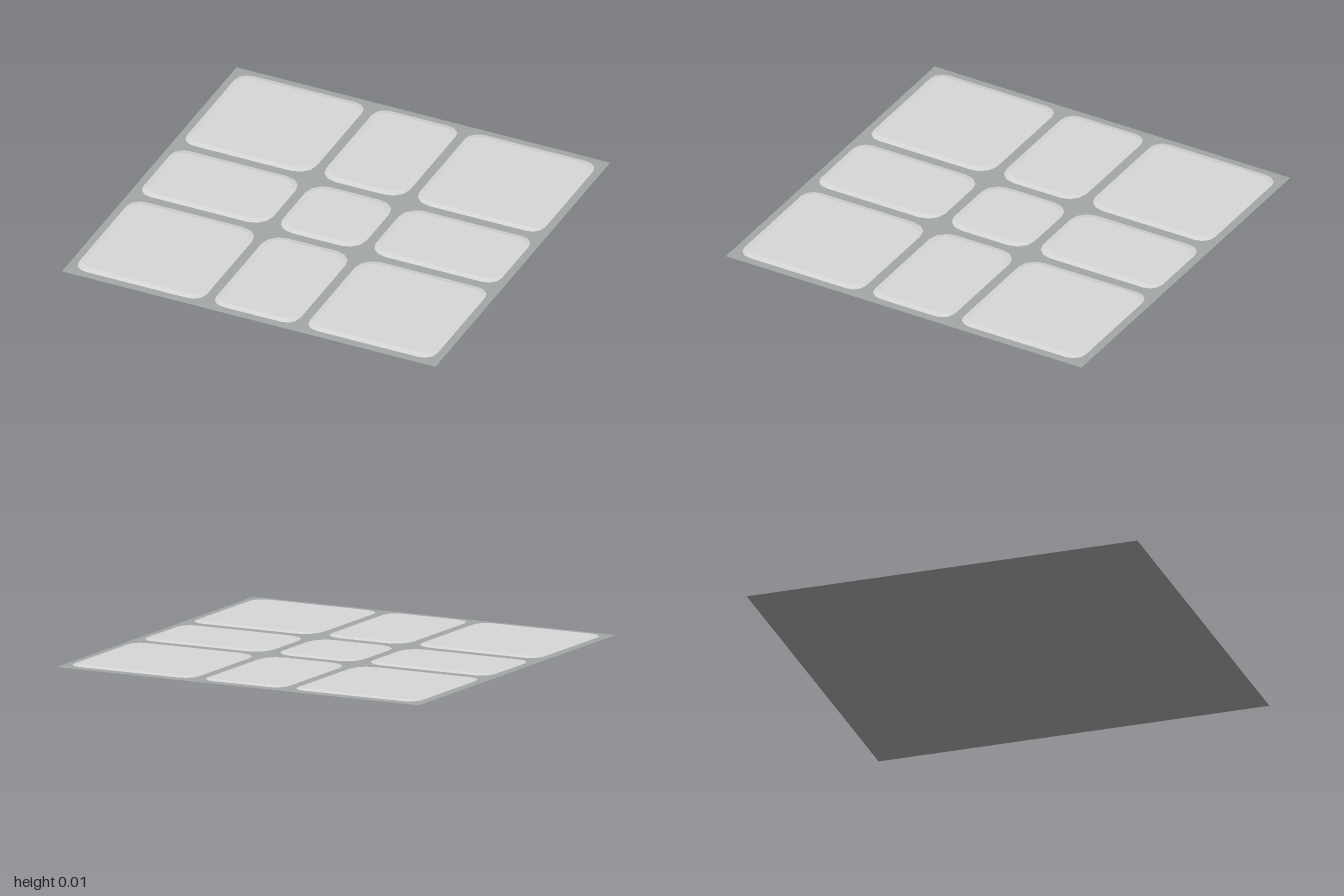
import * as THREE from 'three';

const EDGE = 0.96, INNER = 0.275, MID = 0.225;
const BEVEL = 0.03, TOP = 0.009, GROOVE = 0.003;

// Rounded rectangle outline; a smaller inset ring shares the same point count
function outline(x0, x1, z0, z1, inset, radius) {
  const points = [];
  const corners = [[x1, z1], [x0, z1], [x0, z0], [x1, z0]];
  corners.forEach(([x, z], quarter) => {
    const r = radius(x, z);
    const cx = x - (x === x1 ? r : -r), cz = z - (z === z1 ? r : -r);
    for (let i = 0; i <= 3; i++) {
      const a = (quarter + i / 3) * Math.PI / 2;
      points.push([cx + Math.cos(a) * (r - inset), cz + Math.sin(a) * (r - inset)]);
    }
  });
  return points;
}

// Slab with a sloping rim and a flat top
function slabGeometry(x0, x1, z0, z1) {
  // corners beside a groove crossing are cut wider
  const radius = (x, z) => (Math.abs(x) < 0.5 && Math.abs(z) < 0.5 ? 0.095 : 0.07);
  const low = outline(x0, x1, z0, z1, 0, radius);
  const high = outline(x0, x1, z0, z1, BEVEL, radius);
  const centre = [(x0 + x1) / 2, TOP, (z0 + z1) / 2];
  const pos = [];
  low.forEach((p, i) => {
    const j = (i + 1) % low.length;
    const a = [p[0], GROOVE, p[1]], b = [low[j][0], GROOVE, low[j][1]];
    const c = [high[j][0], TOP, high[j][1]], d = [high[i][0], TOP, high[i][1]];
    pos.push(...a, ...c, ...b, ...a, ...d, ...c);
    pos.push(...centre, ...c, ...d);
  });
  const geometry = new THREE.BufferGeometry();
  geometry.setAttribute('position', new THREE.Float32BufferAttribute(pos, 3));
  geometry.computeVertexNormals();
  return geometry;
}

// Thin sheet, lying on the ground at its border and slightly raised under the slabs
function sheetGeometry() {
  const geometry = new THREE.PlaneGeometry(2, 2, 3, 3).rotateX(-Math.PI / 2);
  const pos = geometry.attributes.position;
  const place = (v) => (Math.abs(v) > 0.9 ? v : Math.sign(v) * EDGE);
  for (let i = 0; i < pos.count; i++) {
    const x = pos.getX(i), z = pos.getZ(i);
    const inside = Math.abs(x) < 0.9 && Math.abs(z) < 0.9;
    pos.setXYZ(i, place(x), inside ? GROOVE : 0, place(z));
  }
  geometry.computeVertexNormals();
  return geometry;
}

export function createModel() {
  const group = new THREE.Group();
  group.name = 'pavedTile';
  const grout = new THREE.MeshStandardMaterial({ color: 0xa2a7a5, side: THREE.DoubleSide });
  grout.name = 'darkGrout';
  const stone = new THREE.MeshStandardMaterial({ color: 0xd6d6d8 });
  stone.name = 'paleStone';

  const base = new THREE.Mesh(sheetGeometry(), grout);
  base.name = 'groutBase';
  group.add(base);

  // Three by three paving slabs
  const spans = [[-EDGE, -INNER], [-MID, MID], [INNER, EDGE]];
  const slabs = new THREE.Group();
  slabs.name = 'pavingSlabs';
  for (const [z0, z1] of spans) {
    for (const [x0, x1] of spans) {
      const slab = new THREE.Mesh(slabGeometry(x0, x1, z0, z1), stone);
      slab.name = 'pavingSlab';
      slabs.add(slab);
    }
  }
  group.add(slabs);
  return group;
}
